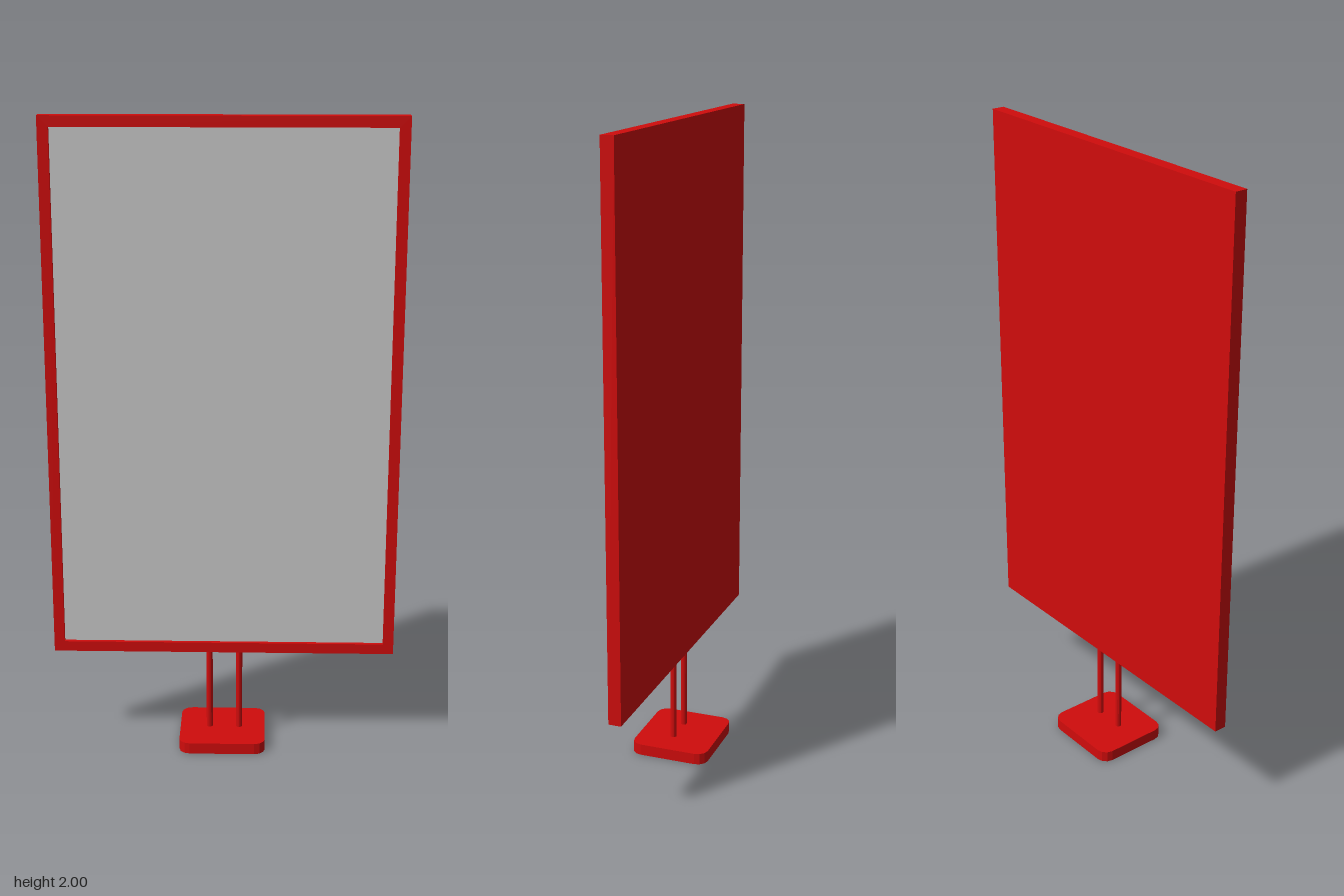
import * as THREE from 'three';

const red = new THREE.MeshStandardMaterial({ color: 0xd00c0c, flatShading: true });
const redOpen = new THREE.MeshStandardMaterial({ color: 0xd00c0c, flatShading: true, side: THREE.DoubleSide });
const grey = new THREE.MeshStandardMaterial({ color: 0xcccccc });

function add(parent, name, geometry, material, x = 0, y = 0, z = 0) {
  const mesh = new THREE.Mesh(geometry, material);
  mesh.name = name;
  mesh.position.set(x, y, z);
  parent.add(mesh);
  return mesh;
}

// Rectangle with rounded corners, as a list of 2D points
function roundedOutline(w, d, r, steps) {
  const points = [];
  for (let corner = 0; corner < 4; corner++) {
    const sx = corner === 0 || corner === 3 ? 1 : -1;
    const sy = corner < 2 ? 1 : -1;
    for (let i = 0; i <= steps; i++) {
      const a = (corner + i / steps) * Math.PI / 2;
      points.push(new THREE.Vector2(
        sx * (w / 2 - r) + r * Math.cos(a),
        sy * (d / 2 - r) + r * Math.sin(a)));
    }
  }
  return points;
}

export function createModel() {
  const model = new THREE.Group();
  model.name = 'displayStand';

  const W = 1.082, bottom = 0.31, top = 2, border = 0.033;
  const back = -0.015, front = 0.025, recess = 0.012;
  const H = top - bottom, midY = (top + bottom) / 2;

  // Frame border around the recessed panel
  const rim = new THREE.Shape([
    new THREE.Vector2(-W / 2, -H / 2), new THREE.Vector2(W / 2, -H / 2),
    new THREE.Vector2(W / 2, H / 2), new THREE.Vector2(-W / 2, H / 2)]);
  const iw = W / 2 - border, ih = H / 2 - border;
  rim.holes.push(new THREE.Path([
    new THREE.Vector2(-iw, -ih), new THREE.Vector2(-iw, ih),
    new THREE.Vector2(iw, ih), new THREE.Vector2(iw, -ih)]));
  add(model, 'frame', new THREE.ExtrudeGeometry(rim, { depth: front - back, bevelEnabled: false }),
    red, 0, midY, back);

  // Solid back and grey front panel
  const backing = new THREE.PlaneGeometry(iw * 2, ih * 2).rotateY(Math.PI);
  add(model, 'backPanel', backing, red, 0, midY, back);
  add(model, 'displayPanel', new THREE.PlaneGeometry(iw * 2, ih * 2), grey, 0, midY, front - recess);

  // Two thin posts
  const postBottom = 0.041;
  for (const [name, x] of [['rightPost', -0.045], ['leftPost', 0.05]]) {
    add(model, name, new THREE.CylinderGeometry(0.01, 0.01, bottom - postBottom, 12),
      red, x, (bottom + postBottom) / 2, 0.008);
  }

  // Rounded foot, hollow underneath: a lid and a skirt
  const base = new THREE.Group();
  base.name = 'base';
  base.position.set(-0.003, 0, -0.002);
  model.add(base);
  const baseH = 0.036;
  const outline = roundedOutline(0.274, 0.25, 0.034, 3);
  const lid = new THREE.ShapeGeometry(new THREE.Shape(outline)).rotateX(-Math.PI / 2);
  add(base, 'baseLid', lid, redOpen, 0, baseH, 0);

  const n = outline.length;
  const skirt = new THREE.PlaneGeometry(1, 1, n, 1);
  const pos = skirt.attributes.position;
  for (let i = 0; i < pos.count; i++) {
    const p = outline[(i % (n + 1)) % n];
    pos.setXYZ(i, p.x, i <= n ? baseH : 0, -p.y);
  }
  skirt.computeVertexNormals();
  add(base, 'baseSkirt', skirt, redOpen);

  return model;
}
